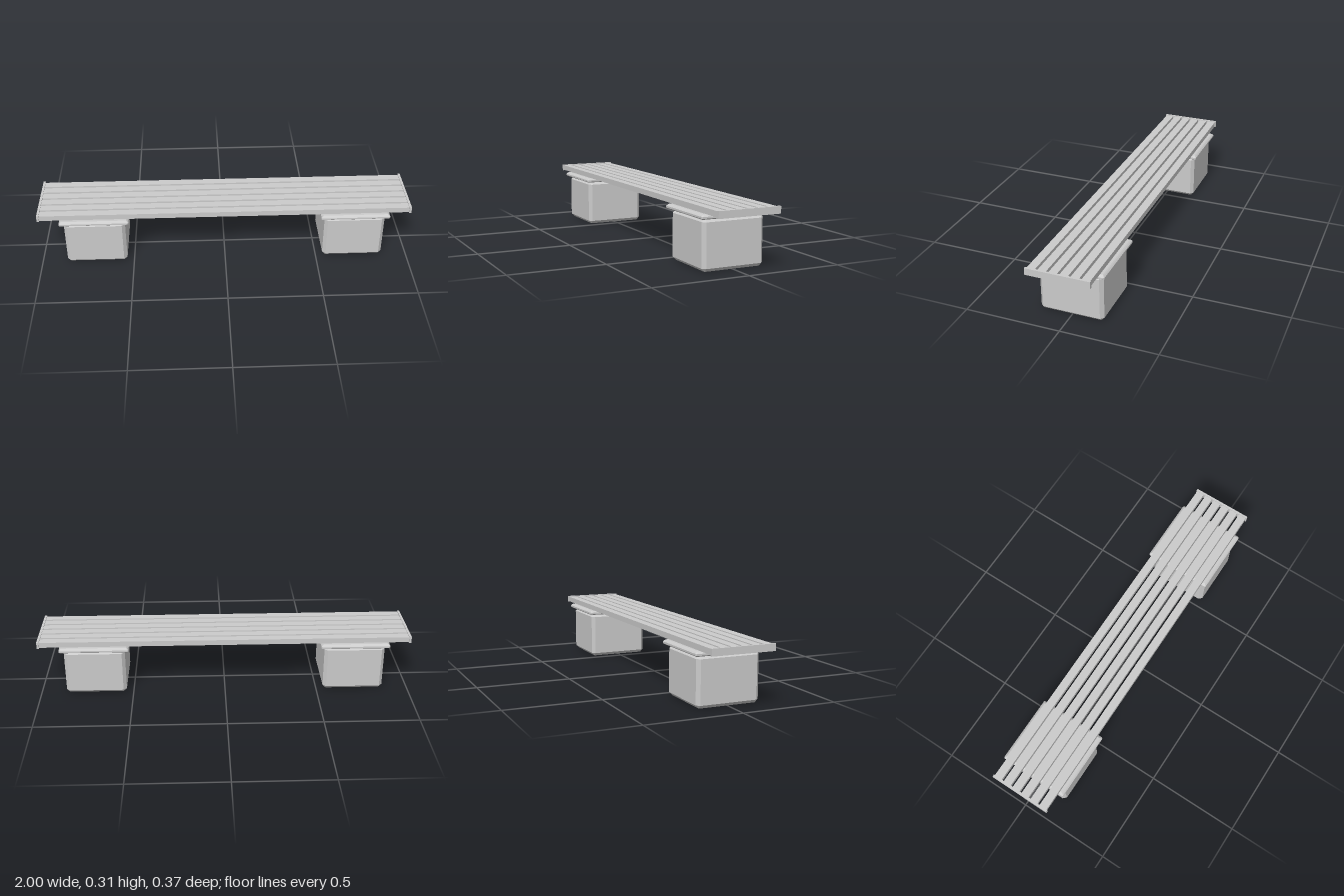
import * as THREE from 'three';
import { ConvexGeometry } from 'three/addons/geometries/ConvexGeometry.js';

const material = new THREE.MeshStandardMaterial({ color: 0xcccccc, flatShading: true });

// Faceted block from square rings [y, halfX, halfZ, cornerCut]
function facetedBlock(rings) {
  const points = [];
  for (const [y, hx, hz, cut] of rings) {
    for (const sx of [-1, 1]) for (const sz of [-1, 1]) {
      points.push(new THREE.Vector3(sx * (hx - cut), y, sz * hz));
      if (cut > 0) points.push(new THREE.Vector3(sx * hx, y, sz * (hz - cut)));
    }
  }
  return new ConvexGeometry(points);
}

function add(parent, name, geometry, x = 0, y = 0, z = 0) {
  const mesh = new THREE.Mesh(geometry, material);
  mesh.name = name;
  mesh.position.set(x, y, z);
  parent.add(mesh);
}

export function createModel() {
  const bench = new THREE.Group();
  bench.name = 'bench';

  // Chamfered concrete foot and the thin bevelled slab lying on it
  const c = 0.017;
  const footGeometry = facetedBlock([
    [0, 0.163 - c, 0.167 - c, 0],
    [c, 0.163, 0.167, c],
    [0.255 - c, 0.163, 0.167, c],
    [0.255, 0.163 - c, 0.167 - c, 0],
  ]);
  const slabGeometry = facetedBlock([
    [0.255, 0.179, 0.18, 0],
    [0.26, 0.185, 0.186, 0.005],
    [0.269, 0.185, 0.186, 0.005],
    [0.275, 0.179, 0.18, 0.003],
    [0.279, 0.172, 0.174, 0],
  ]);
  // Flat end board closing the slats
  const endGeometry = new THREE.BoxGeometry(0.012, 0.036, 0.333);

  for (const [side, s] of [['left', 1], ['right', -1]]) {
    add(bench, side + 'Foot', footGeometry, s * 0.7);
    add(bench, side + 'Slab', slabGeometry, s * 0.7);
    add(bench, side + 'EndBoard', endGeometry, s * 0.994, 0.295, 0);
  }

  // Six long seat slats
  const slats = new THREE.Group();
  slats.name = 'seatSlats';
  const slatGeometry = new THREE.BoxGeometry(1.978, 0.029, 0.043);
  for (let i = 0; i < 6; i++) {
    add(slats, 'slat' + (i + 1), slatGeometry, 0, 0.2945, (i - 2.5) * 0.0558);
  }
  bench.add(slats);
  return bench;
}
